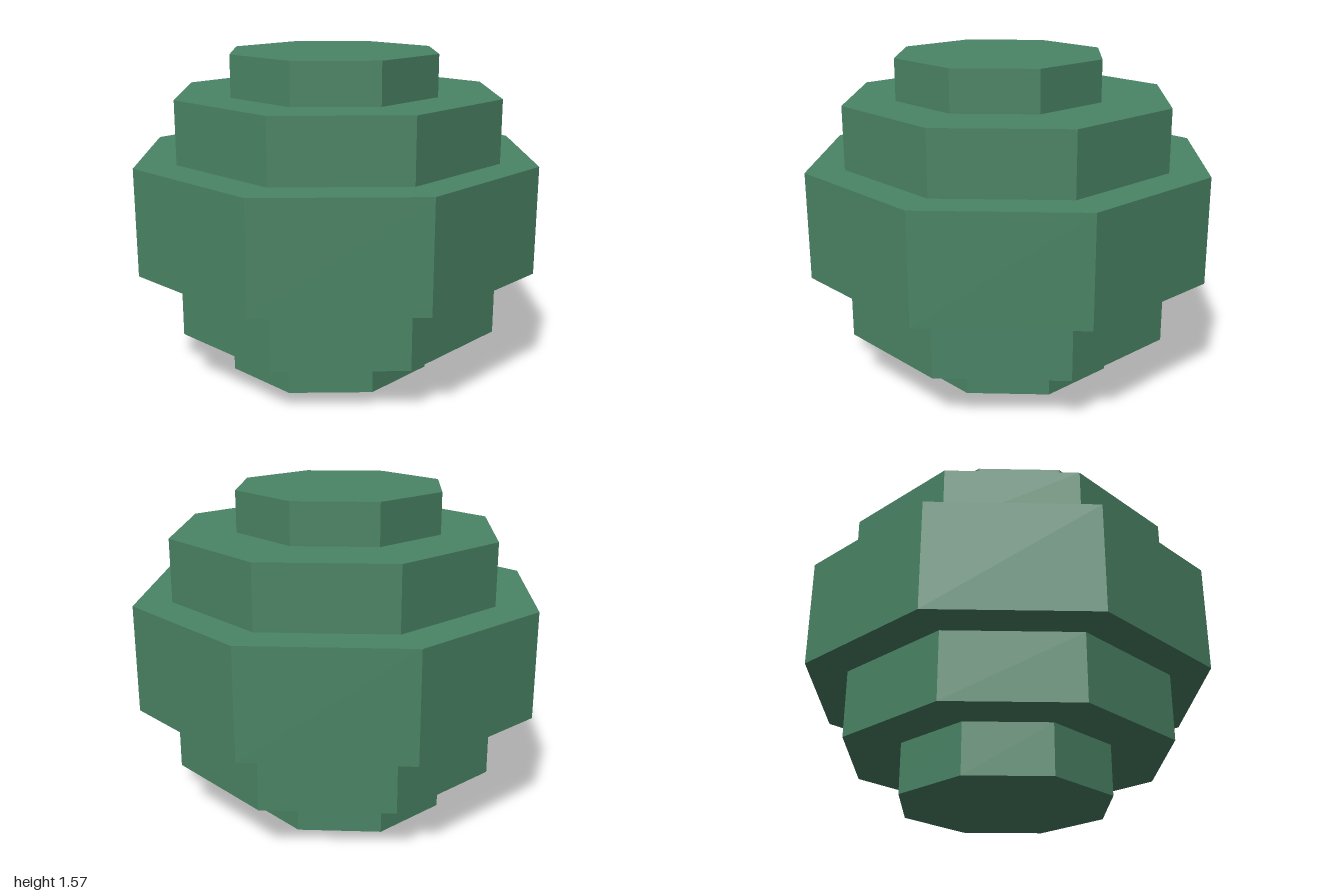
import * as THREE from 'three';

export function createModel() {
  const model = new THREE.Group();
  model.name = 'tieredFoliageBall';
  const leaf = new THREE.MeshStandardMaterial({ color: 0x4a8465, flatShading: true });

  // Stacked octagonal tiers, slightly off-centre: name, radius, bottom, top, x, z
  const tiers = [
    ['bottomTier', 0.517, 0, 0.24, -0.025, -0.02],
    ['lowerTier', 0.808, 0.24, 0.56, 0.008, 0.008],
    ['middleTier', 1, 0.56, 1.075, 0, 0],
    ['upperTier', 0.808, 1.075, 1.375, 0.008, 0.008],
    ['topTier', 0.517, 1.375, 1.573, -0.025, 0.04],
  ];
  for (const [name, radius, bottom, top, x, z] of tiers) {
    const tier = new THREE.Mesh(new THREE.CylinderGeometry(radius, radius, top - bottom, 8), leaf);
    tier.name = name;
    tier.position.set(x, (bottom + top) / 2, z);
    model.add(tier);
  }
  return model;
}
